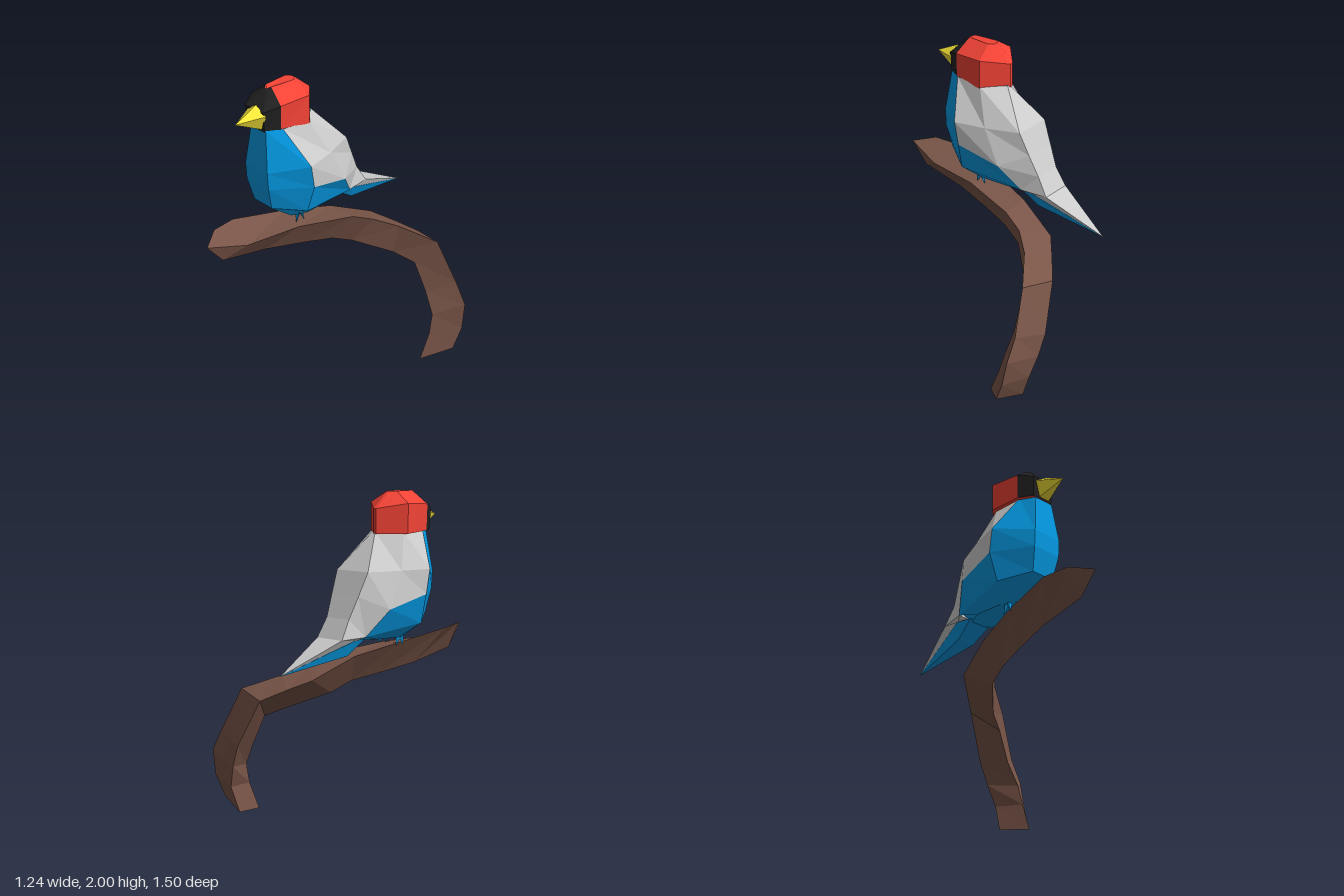
import * as THREE from 'three';
import { ConvexGeometry } from 'three/addons/geometries/ConvexGeometry.js';

const material = (color) => new THREE.MeshStandardMaterial({ color, flatShading: true });
const brown = material(0x795548), blue = material(0x039be5), grey = material(0xcccccc);
const red = material(0xf44336), black = material(0x212121), yellow = material(0xffeb3b);

const vec = (p) => new THREE.Vector3(...p);

// Closed loft through rings of points; partOf(row, column) names the mesh each
// quad goes to (column -1 is an end cap). Winding is fixed by the signed volume.
function loft(rings, partOf, materials) {
  const faces = [];
  const n = rings[0].length;
  const add = (part, a, b, c) => faces.push({ part, v: [a, b, c] });
  for (let r = 0; r < rings.length - 1; r++) {
    for (let i = 0; i < n; i++) {
      const j = (i + 1) % n, part = partOf(r, i);
      add(part, rings[r][i], rings[r][j], rings[r + 1][j]);
      add(part, rings[r][i], rings[r + 1][j], rings[r + 1][i]);
    }
  }
  [0, rings.length - 1].forEach((r) => {
    const ring = rings[r];
    for (let i = 1; i < n - 1; i++) {
      if (r) add(partOf(r, -1), ring[0], ring[i], ring[i + 1]);
      else add(partOf(r, -1), ring[0], ring[i + 1], ring[i]);
    }
  });
  const volume = faces.reduce((s, { v: [a, b, c] }) => s + a.dot(b.clone().cross(c)), 0);
  const group = new THREE.Group();
  for (const name of Object.keys(materials)) {
    const points = faces.filter((f) => f.part === name)
      .flatMap(({ v: [a, b, c] }) => (volume > 0 ? [a, b, c] : [a, c, b]));
    const geometry = new THREE.BufferGeometry().setFromPoints(points);
    geometry.computeVertexNormals();
    const mesh = new THREE.Mesh(geometry, materials[name]);
    mesh.name = name;
    group.add(mesh);
  }
  return group;
}

// Eight-sided ring from one half: front, flank, side and back pairs
function mirroredRing(half, dx = 0) {
  const near = half.map(([x, y, z]) => vec([x + dx, y, z]));
  const far = half.map(([x, y, z]) => vec([-x + dx, y, z])).reverse();
  return [...near, ...far];
}

function hull(name, mat, centre, pairs) {
  const points = centre.map(vec);
  pairs.forEach(([x, y, z]) => points.push(vec([x, y, z]), vec([-x, y, z])));
  const mesh = new THREE.Mesh(new ConvexGeometry(points), mat);
  mesh.name = name;
  return mesh;
}

// Columns of a mirrored ring: 0, 6, 7 front; 1, 5 flanks; 2, 3, 4 back
const isFront = (i) => i === 0 || i === 6 || i === 7;
const isFlank = (i) => i === 1 || i === 5;

function createBranch() {
  // Triangular section: outer, back and inner corner at each bend
  const sections = [
    [[-0.56, 1.12, 0.75], [-0.61, 1.15, 0.6], [-0.53, 0.98, 0.64]],
    [[-0.42, 1.06, 0.53], [-0.59, 1.14, 0.43], [-0.42, 0.92, 0.33]],
    [[-0.26, 1.06, 0.2], [-0.42, 1.08, 0.1], [-0.29, 0.88, 0.1]],
    [[-0.06, 1.02, -0.12], [-0.25, 1.02, -0.17], [-0.18, 0.85, -0.07]],
    [[0.02, 0.96, -0.24], [-0.09, 0.9, -0.41], [-0.1, 0.79, -0.19]],
    [[0.16, 0.9, -0.33], [0.05, 0.84, -0.47], [0.13, 0.7, -0.32]],
    [[0.4, 0.81, -0.41], [0.2, 0.77, -0.53], [0.27, 0.64, -0.355]],
    [[0.54, 0.54, -0.42], [0.35, 0.48, -0.545], [0.36, 0.45, -0.345]],
    [[0.62, 0.4, -0.4], [0.4, 0.34, -0.52], [0.43, 0.31, -0.31]],
    [[0.62, 0.23, -0.37], [0.44, 0.2, -0.48], [0.43, 0.18, -0.275]],
    [[0.585, 0.085, -0.32], [0.41, 0.03, -0.43], [0.4, 0, -0.21]],
  ];
  const branch = loft(sections.map((s) => s.map(vec)), () => 'bark', { bark: brown });
  branch.name = 'branch';
  return branch;
}

function createBody() {
  const rings = [
    [[0.065, 1.77, 0.28], [0.115, 1.77, 0.19], [0.13, 1.76, 0], [0.01, 1.76, -0.12]],
    [[0.1, 1.51, 0.31], [0.255, 1.54, 0.1], [0.205, 1.54, -0.1], [0.125, 1.54, -0.307]],
    [[0.1, 1.4, 0.305], [0.25, 1.39, 0.075], [0.215, 1.32, -0.21], [0.108, 1.4, -0.37]],
    [[0.08, 1.25, 0.27], [0.2, 1.21, 0.09], [0.13, 1.16, -0.33], [0.09, 1.27, -0.43]],
    [[0.06, 1.12, 0.1], [0.1, 1.12, 0], [0.1, 1.13, -0.2], [0.05, 1.13, -0.3]],
  ].map((half) => mirroredRing(half));
  const partOf = (r, i) =>
    (i < 0 || isFront(i) || r > 2 || (isFlank(i) && r > 1) ? 'belly' : 'back');
  const body = loft(rings, partOf, { belly: blue, back: grey });
  body.name = 'body';
  return body;
}

function createHead() {
  const rings = [
    [[0.075, 1.76, 0.285], [0.125, 1.76, 0.2], [0.15, 1.75, 0], [0.01, 1.75, -0.13]],
    [[0.08, 1.89, 0.295], [0.13, 1.92, 0.2], [0.15, 1.93, 0], [0.01, 1.9, -0.13]],
    [[0.01, 1.99, 0.2], [0.025, 2, 0.18], [0.04, 2, 0.02], [0.01, 2, -0.01]],
  ].map((half) => mirroredRing(half, -0.015));
  const head = loft(rings, (r, i) => (isFront(i) ? 'face' : 'crown'), { face: black, crown: red });
  head.name = 'head';
  head.add(hull('beak', yellow, [[0, 1.92, 0.29], [0, 1.845, 0.45]],
    [[0.08, 1.87, 0.285], [0.04, 1.77, 0.28]]));
  return head;
}

function createTail() {
  const tail = new THREE.Group();
  tail.name = 'tail';
  const tip = [0.02, 0.98, -0.88];
  tail.add(
    hull('rump', grey, [],
      [[0.09, 1.27, -0.43], [0.1, 1.155, -0.5], [0.13, 1.16, -0.33], [0.1, 1.14, -0.37]]),
    hull('tailFeathers', grey, [tip], [[0.1, 1.155, -0.5], [0.1, 1.145, -0.38]]),
    hull('tailUnderside', blue, [tip],
      [[0.1, 1.143, -0.38], [0.06, 1.05, -0.41], [0.08, 1.14, -0.28]]),
  );
  return tail;
}

function createFoot(side) {
  const foot = new THREE.Group();
  foot.name = side > 0 ? 'leftFoot' : 'rightFoot';
  // Two pointed toes, splayed fore and aft
  for (const dir of [1, -1]) {
    const toe = new THREE.Mesh(new THREE.ConeGeometry(0.024, 0.08, 3), blue);
    toe.name = 'toe';
    toe.rotation.x = Math.PI - dir * 0.3;
    toe.position.set(side * 0.07, 1.1, 0.04 + dir * 0.02);
    foot.add(toe);
  }
  return foot;
}

export function createModel() {
  const model = new THREE.Group();
  model.name = 'birdOnBranch';
  const bird = new THREE.Group();
  bird.name = 'bird';
  bird.position.set(-0.345, 0, 0.08);
  bird.rotation.y = -0.3;
  bird.add(createBody(), createHead(), createTail(), createFoot(1), createFoot(-1));
  model.add(createBranch(), bird);
  return model;
}
